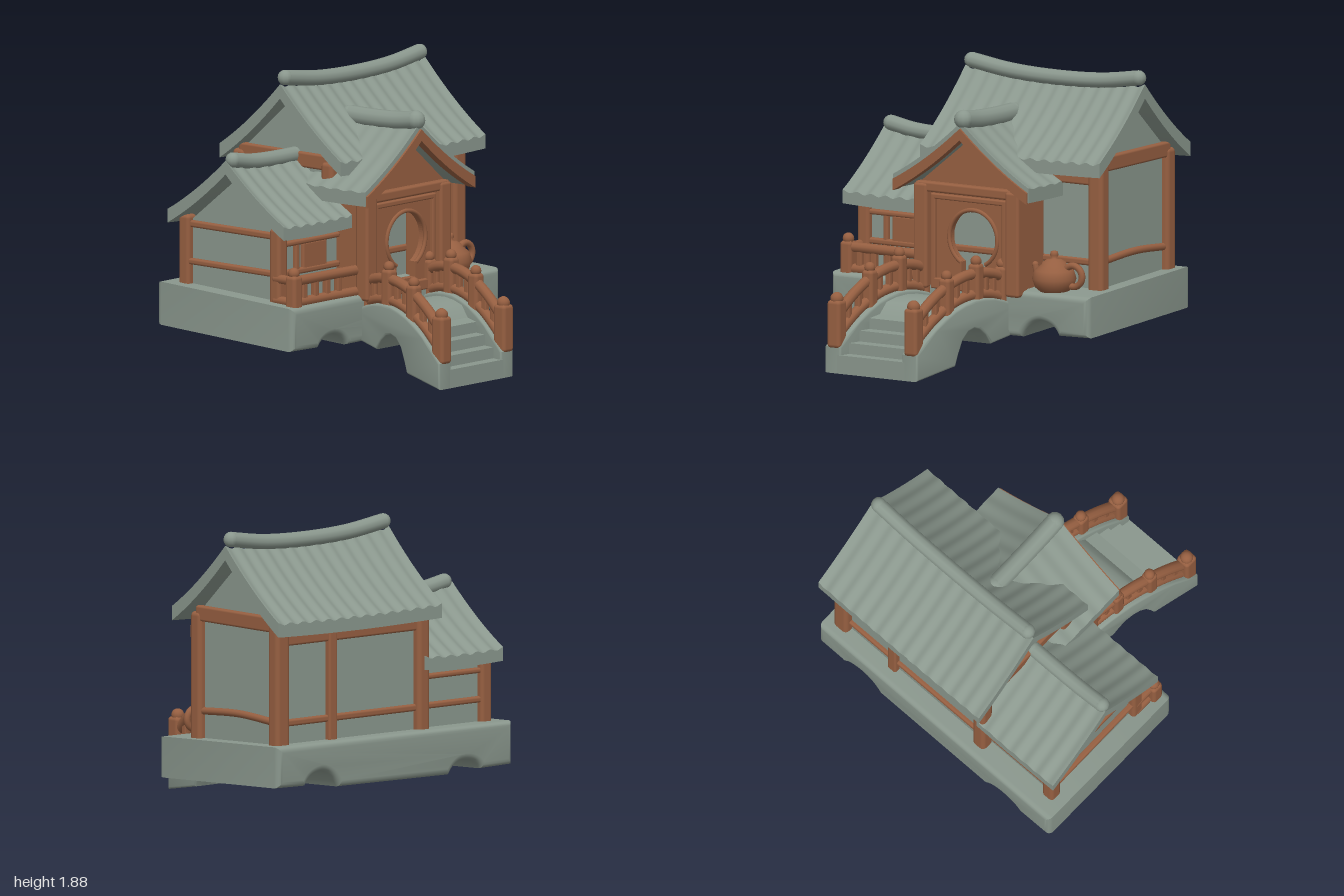
import * as THREE from 'three';
import { RoundedBoxGeometry } from 'three/addons/geometries/RoundedBoxGeometry.js';
import { toCreasedNormals } from 'three/addons/utils/BufferGeometryUtils.js';

const stone = new THREE.MeshStandardMaterial({ name: 'grey green stone', color: 0x8a978d });
const wood = new THREE.MeshStandardMaterial({ name: 'brown wood', color: 0x965f41 });
const V = (x, y, z) => new THREE.Vector3(x, y, z);

export function createModel() {
  const model = new THREE.Group();
  model.name = 'gardenHouse';

  const add = (name, geo, mat) => {
    const m = new THREE.Mesh(geo, mat);
    m.name = name;
    model.add(m);
    return m;
  };
  // rounded block given by its extents
  const box = (name, mat, x0, x1, y0, y1, z0, z1, r = 0.015) => {
    const g = new RoundedBoxGeometry(x1 - x0, y1 - y0, z1 - z0, 2, r);
    g.translate((x0 + x1) / 2, (y0 + y1) / 2, (z0 + z1) / 2);
    return add(name, g, mat);
  };
  const shapeOf = (pts) => new THREE.Shape(pts.map(([x, y]) => new THREE.Vector2(x, y)));
  // side profile of [z, y] points, extruded from x0 to x1
  const extrudeX = (pts, x0, x1, bevel = 0) => {
    const g = new THREE.ExtrudeGeometry(shapeOf(pts.map(([z, y]) => [-z, y])), {
      depth: x1 - x0 - 2 * bevel, bevelEnabled: bevel > 0, bevelSize: bevel,
      bevelThickness: bevel, bevelOffset: -bevel, bevelSegments: 3 });
    g.rotateY(Math.PI / 2).translate(x0 + bevel, 0, 0);
    return toCreasedNormals(g, 0.7);
  };
  const tube = (name, mat, pts, r) => {
    const curve = new THREE.CatmullRomCurve3(pts);
    add(name, new THREE.TubeGeometry(curve, 24, r, 10), mat);
    for (const p of [pts[0], pts[pts.length - 1]])
      add(name + 'End', new THREE.SphereGeometry(r, 12, 8).translate(p.x, p.y, p.z), mat);
  };
  // square post with a rounded knob
  const post = (name, x, z, y0, y1, r = 0.044) => {
    box(name, wood, x - r, x + r, y0, y1 - 0.05, z - r, z + r, 0.025);
    add(name + 'Knob', new THREE.SphereGeometry(r * 0.85, 14, 10).translate(x, y1 - r * 0.85, z), wood);
  };
  // curved gable roof along local x: closed cross-sections with tile ribs
  const roof = (name, mat, o) => {
    const { len, span, peak, eave, thick, ribs, amp, lift } = o;
    const N = Math.max(8, ribs * 8), M = 20, pos = [], idx = [], ring = 2 * (M + 1);
    for (let i = 0; i <= N; i++) {
      const u = (i / N) * 2 - 1;
      for (let k = 0; k < ring; k++) {
        const top = k <= M, t = ((top ? k : ring - 1 - k) / M) * 2 - 1, a = Math.abs(t);
        let y = peak - (peak - eave) * (a + 0.25 * a * (1 - a)) + lift * u * u * (1 - 0.7 * a);
        y += top ? amp * Math.cos((i / N) * ribs * Math.PI * 2) : -thick;
        pos.push(u * len / 2, y, -t * span);
      }
    }
    for (let i = 0; i < N; i++) for (let k = 0; k < ring; k++) {
      const a = i * ring + k, b = i * ring + (k + 1) % ring;
      idx.push(a, a + ring, b, b, a + ring, b + ring);
    }
    for (let k = 0; k < M; k++) { // end faces
      const a = k, b = k + 1, c = ring - 2 - k, d = ring - 1 - k, e = N * ring;
      idx.push(a, b, c, a, c, d, e + a, e + c, e + b, e + a, e + d, e + c);
    }
    const g = new THREE.BufferGeometry();
    g.setAttribute('position', new THREE.Float32BufferAttribute(pos, 3));
    g.setIndex(idx);
    // keep the winding outward
    const p = g.attributes.position, A = V().fromBufferAttribute(p, idx[0]);
    const n = V().fromBufferAttribute(p, idx[1]).sub(A).cross(V().fromBufferAttribute(p, idx[2]).sub(A));
    if (n.y < 0) g.setIndex(idx.reverse());
    const m = add(name, toCreasedNormals(g, 0.8), mat);
    m.position.set(o.x, 0, o.z);
    if (o.turn) m.rotation.y = Math.PI / 2;
  };

  // stone platform with two water channels underneath, slightly tilted
  const base = new THREE.Shape();
  base.moveTo(-1, 0.22).lineTo(-0.74, 0.215);
  base.quadraticCurveTo(-0.7, 0.285, -0.6, 0.285).quadraticCurveTo(-0.52, 0.285, -0.47, 0.2);
  base.lineTo(0.46, 0.21).quadraticCurveTo(0.52, 0.325, 0.61, 0.325).quadraticCurveTo(0.71, 0.315, 0.74, 0.24);
  base.lineTo(0.98, 0.245).lineTo(0.98, 0.51).lineTo(-1, 0.5);
  const baseGeo = new THREE.ExtrudeGeometry(base, { depth: 1.09, bevelSize: 0.04, bevelThickness: 0.04,
    bevelOffset: -0.04, bevelSegments: 4 }).translate(0, 0, -0.95);
  baseGeo.applyMatrix4(new THREE.Matrix4().set(1, 0, 0, 0, 0, 1, -0.043, 0, 0, 0, 1, 0, 0, 0, 0, 1));
  add('platform', toCreasedNormals(baseGeo, 0.7), stone);

  // arched bridge, skewed sideways
  const skew = new THREE.Matrix4().set(1, 0, -0.2, 0.05, 0, 1, 0, 0, 0, 0, 1, 0, 0, 0, 0, 1);
  const arch = (z) => 0.47 - 0.86 * (z - 0.4) ** 2;
  const under = [[0.12, 0.21], [0.33, 0.17], [0.38, 0.235], [0.43, 0.275], [0.48, 0.285], [0.53, 0.27],
    [0.58, 0.22], [0.62, 0.13], [0.645, 0.06], [0.99, 0]];
  const curbTop = [], deckTop = [[0.99, 0.12], [0.91, 0.12], [0.91, 0.19], [0.82, 0.19], [0.82, 0.26],
    [0.73, 0.26], [0.73, 0.33], [0.64, 0.345]];
  for (let z = 0.99; z > 0.1; z -= 0.087) curbTop.push([z, arch(z)]);
  for (let z = 0.58; z > 0.1; z -= 0.09) deckTop.push([z, arch(z) - 0.025]);
  add('bridgeDeck', extrudeX([...under, ...deckTop], -0.26, 0.26).applyMatrix4(skew), stone);
  for (const s of [-1, 1]) {
    add('bridgeCurb', extrudeX([...under, ...curbTop], s * 0.295 - 0.06, s * 0.295 + 0.06, 0.015).applyMatrix4(skew), stone);
    const at = (z, h) => V(s * 0.295, arch(z) + h, z).applyMatrix4(skew);
    for (const [z, top] of [[0.95, 0.52], [0.66, 0.68], [0.4, 0.745], [0.17, 0.7]])
      post('bridgePost', at(z, 0).x, z, arch(z) - 0.05, top, z > 0.9 ? 0.05 : 0.042);
    const zs = [0.95, 0.8, 0.66, 0.53, 0.4, 0.28, 0.17];
    tube('bridgeHandrail', wood, zs.map((z) => at(z, 0.16)), 0.035);
    tube('bridgeLowerRail', wood, zs.map((z) => at(z, 0.025)), 0.034);
    for (const z of [0.85, 0.76, 0.575, 0.49, 0.32, 0.25]) {
      const p = at(z, 0.09);
      box('bridgeBaluster', wood, p.x - 0.02, p.x + 0.02, p.y - 0.09, p.y + 0.08, z - 0.02, z + 0.02, 0.01);
    }
  }

  // main hall: grey walls with gables, timber frame
  add('hallWalls', extrudeX([[-0.1, 0.45], [-0.1, 1.32], [-0.47, 1.66], [-0.86, 1.32], [-0.86, 0.45]], -0.33, 0.88), stone);
  for (const z of [-0.105, -0.865]) {
    box('hallPost', wood, 0.81, 0.925, 0.48, 1.33, z - 0.05, z + 0.05, 0.03);
    box('hallPost', wood, -0.37, -0.27, 0.48, 1.33, z - 0.05, z + 0.05, 0.03);
    box('hallBeam', wood, -0.33, 0.9, 1.18, 1.29, z - 0.025, z + 0.025);
    box('hallLowRail', wood, -0.33, 0.9, 0.66, 0.705, z - 0.02, z + 0.02);
  }
  box('hallBackStud', wood, 0.4, 0.47, 0.5, 1.25, -0.9, -0.84);
  for (const x of [-0.33, 0.885]) {
    box('hallSideBeam', wood, x - 0.025, x + 0.03, 1.27, 1.37, -0.87, -0.1);
    tube('hallSideRail', wood, [V(x, 0.69, -0.12), V(x, 0.71, -0.5), V(x, 0.69, -0.85)], 0.024);
  }
  roof('hallRoof', stone, { len: 1.38, x: 0.29, z: -0.47, span: 0.52, peak: 1.75, eave: 1.335, thick: 0.085, ribs: 13, amp: 0.008, lift: 0.04 });
  tube('hallRidge', stone, [V(-0.35, 1.835, -0.47), V(-0.05, 1.795, -0.47), V(0.3, 1.782, -0.47), V(0.65, 1.795, -0.47), V(0.93, 1.835, -0.47)], 0.05);

  // side wing
  add('wingWalls', extrudeX([[-0.05, 0.45], [-0.05, 0.96], [-0.4, 1.26], [-0.83, 0.92], [-0.83, 0.45]], -0.88, -0.3), stone);
  for (const z of [-0.05, -0.83]) {
    box('wingPost', wood, -0.925, -0.835, 0.47, 0.98, z - 0.045, z + 0.045, 0.025);
    box('wingBeam', wood, -0.88, -0.32, 0.85, 0.885, z - 0.03, z + 0.03);
    box('wingLowRail', wood, -0.88, -0.32, 0.66, 0.7, z - 0.03, z + 0.03);
  }
  box('wingDoorPanel', wood, -0.67, -0.44, 0.66, 0.86, -0.08, -0.025);
  box('wingStud', wood, -0.74, -0.7, 0.5, 0.87, -0.08, -0.025);
  box('wingSideRail', wood, -0.915, -0.87, 0.66, 0.7, -0.83, -0.05);
  box('wingSideBeam', wood, -0.905, -0.86, 0.9, 0.945, -0.83, -0.05);
  roof('wingRoof', stone, { len: 0.66, x: -0.645, z: -0.42, span: 0.5, peak: 1.345, eave: 0.995, thick: 0.08, ribs: 6, amp: 0.008, lift: 0.03 });
  tube('wingRidge', stone, [V(-0.925, 1.385, -0.4), V(-0.75, 1.355, -0.4), V(-0.55, 1.345, -0.4), V(-0.34, 1.345, -0.4)], 0.05);

  // veranda fence
  post('fencePost', -0.91, 0.11, 0.46, 0.745);
  for (const [y, r] of [[0.655, 0.033], [0.515, 0.033]]) {
    tube('fenceRail', wood, [V(-0.91, y, 0.11), V(-0.6, y, 0.11), V(-0.31, y, 0.12)], r);
    tube('fenceSideRail', wood, [V(-0.9, y, 0.11), V(-0.9, y, 0.03), V(-0.9, y, -0.05)], r * 0.9);
  }
  for (const x of [-0.82, -0.71, -0.6, -0.49])
    box('fenceBaluster', wood, x - 0.022, x + 0.022, 0.5, 0.66, 0.09, 0.13, 0.01);

  // entrance porch with a moon door
  const front = shapeOf([[-0.33, 0.45], [0.47, 0.45], [0.47, 1.13], [0.08, 1.46], [-0.33, 1.13]]);
  const door = new THREE.Path();
  door.moveTo(0, 0.55).lineTo(0.18, 0.55);
  door.absarc(0.09, 0.805, 0.18, -Math.PI / 3, Math.PI * 4 / 3, false);
  front.holes.push(door);
  add('porchFront', new THREE.ExtrudeGeometry(front, { depth: 0.05, bevelEnabled: false, curveSegments: 32 }).translate(0, 0, 0.12), wood);
  add('moonDoorRim', new THREE.TorusGeometry(0.185, 0.014, 8, 40, Math.PI * 5 / 3).rotateZ(-Math.PI / 3).translate(0.09, 0.805, 0.17), wood);
  for (const [x0, x1] of [[-0.34, -0.235], [0.365, 0.47]]) {
    box('porchColumn', wood, x0, x1, 0.46, 1.14, 0.12, 0.225, 0.02);
    box('porchSideWall', wood, x0 + 0.015, x1 - 0.015, 0.46, 1.14, -0.1, 0.15);
  }
  box('porchBeam', wood, -0.33, 0.46, 1.085, 1.15, 0.14, 0.215);
  box('doorFrameTop', wood, -0.225, 0.355, 1.04, 1.075, 0.15, 0.195, 0.01);
  box('doorFrameSill', wood, -0.225, 0.355, 0.46, 0.53, 0.15, 0.195, 0.01);
  for (const x of [-0.225, 0.32]) box('doorFrameSide', wood, x, x + 0.035, 0.48, 1.07, 0.15, 0.195, 0.01);
  roof('porchRoof', stone, { len: 0.62, x: 0.08, z: -0.01, span: 0.52, peak: 1.555, eave: 1.185, thick: 0.09, ribs: 5, amp: 0.005, lift: 0.015, turn: true });
  roof('porchBargeboard', wood, { len: 0.07, x: 0.08, z: 0.28, span: 0.515, peak: 1.535, eave: 1.165, thick: 0.075, ribs: 1, amp: 0, lift: 0, turn: true });
  const ridge = tube('porchRidge', stone, [V(0.08, 1.59, 0.265), V(0.08, 1.57, 0.12), V(0.08, 1.56, -0.1), V(0.08, 1.56, -0.3)], 0.062);

  // teapot beside the porch
  const profile = [[0, 0], [0.09, 0], [0.125, 0.03], [0.142, 0.085], [0.125, 0.14], [0.08, 0.175], [0.075, 0.19],
    [0.045, 0.208], [0.016, 0.215], [0.028, 0.235], [0.022, 0.258], [0, 0.265]];
  const pot = new THREE.LatheGeometry(profile.map(([r, y]) => new THREE.Vector2(r, y)), 32);
  add('teapotBody', pot.translate(0.635, 0.5, 0.055), wood);
  tube('teapotSpout', wood, [V(0.54, 0.57, 0.055), V(0.505, 0.61, 0.055), V(0.49, 0.66, 0.055)], 0.022);
  add('teapotHandle', new THREE.TorusGeometry(0.068, 0.022, 10, 28).translate(0.78, 0.61, 0.055), wood);

  return model;
}
